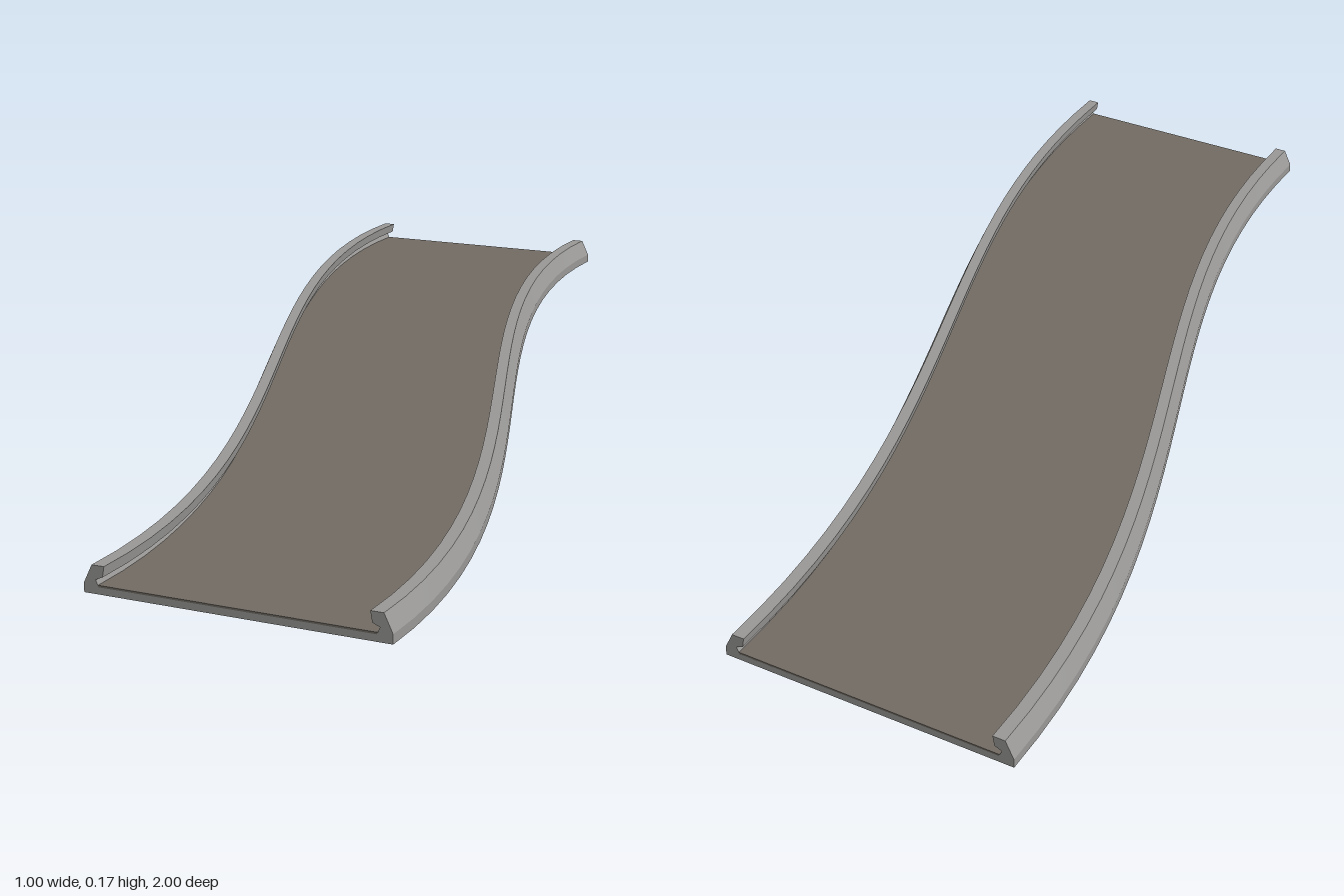
import * as THREE from 'three';
import { toCreasedNormals } from 'three/addons/utils/BufferGeometryUtils.js';

const LENGTH = 2, SHIFT = 0.5, RISE = 0.128, HALF = 0.25, STEPS = 28;

// Extrude a cross-section along z, then bend it sideways and upward in an S
function sweep(points) {
  const shape = new THREE.Shape(points.map(([x, y]) => new THREE.Vector2(x, y)));
  const geo = new THREE.ExtrudeGeometry(shape, { depth: LENGTH, steps: STEPS, bevelEnabled: false });
  const p = geo.attributes.position;
  for (let i = 0; i < p.count; i++) {
    const z = p.getZ(i) - LENGTH / 2;
    const s = THREE.MathUtils.smoothstep(-z, -1, 1);
    p.setXYZ(i, p.getX(i) + SHIFT * (0.5 - s), p.getY(i) + RISE * s, z);
  }
  return toCreasedNormals(geo, 0.3);
}

export function createModel() {
  const metal = new THREE.MeshStandardMaterial({ color: 0x999896 });
  metal.name = 'grey metal';
  const surface = new THREE.MeshStandardMaterial({ color: 0x716b63 });
  surface.name = 'brown grey surface';

  const group = new THREE.Group();
  group.name = 'curvedRamp';
  const add = (name, points, material) => {
    const mesh = new THREE.Mesh(sweep(points), material);
    mesh.name = name;
    group.add(mesh);
  };

  // Channel with a sloped outer wall and overhanging lip on each side
  const edge = [
    [-HALF, 0], [-HALF, 0.015], [-0.236, 0.044], [-0.215, 0.044],
    [-0.218, 0.027], [-0.23, 0.022], [-0.225, 0.011],
  ];
  const mirrored = edge.map(([x, y]) => [-x, y]).reverse();
  add('baseAndRails', [...edge, ...mirrored], metal);

  // Thin running surface between the rails
  add('deckSurface', [[-0.226, 0.01], [-0.226, 0.014], [0.226, 0.014], [0.226, 0.01]], surface);
  return group;
}
